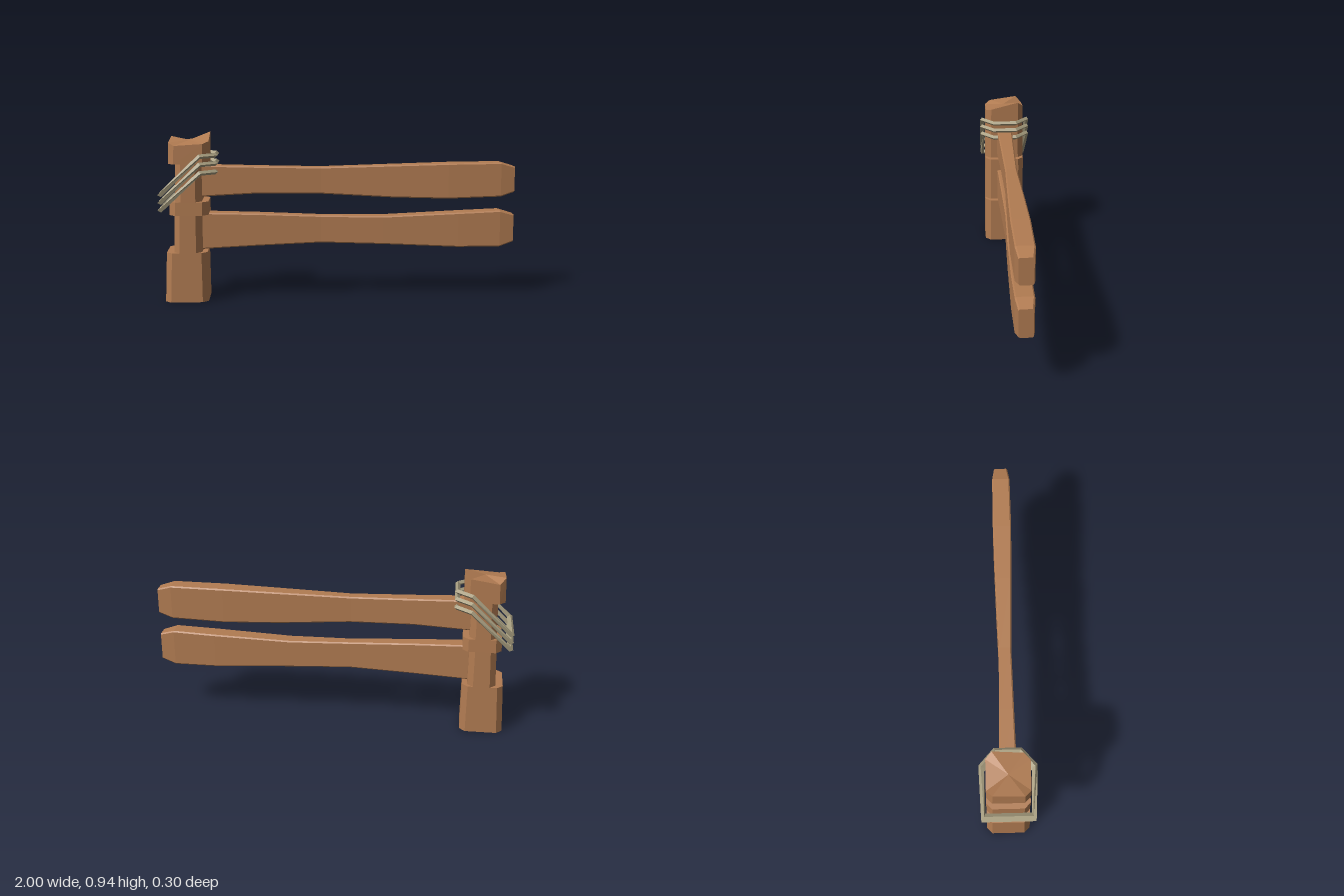
import * as THREE from 'three';

const wood = new THREE.MeshStandardMaterial({ color: 0xb27c52, flatShading: true });
wood.name = 'wood';
const rope = new THREE.MeshStandardMaterial({ color: 0xa89e80, flatShading: true });
rope.name = 'rope';

// Skins a list of rings (each right-handed about the sweep direction) with flat faces.
function loft(rings, closed = false) {
  const pos = [];
  const n = rings[0].length;
  const tri = (a, b, c) => [a, b, c].forEach((p) => pos.push(p.x, p.y, p.z));
  const last = closed ? rings.length : rings.length - 1;
  for (let i = 0; i < last; i++) {
    const r = rings[i], s = rings[(i + 1) % rings.length];
    for (let j = 0; j < n; j++) {
      const k = (j + 1) % n;
      tri(r[j], r[k], s[k]);
      tri(r[j], s[k], s[j]);
    }
  }
  if (!closed) {
    // End caps as fans around the ring centre
    [[rings[0], true], [rings[rings.length - 1], false]].forEach(([r, flip]) => {
      const c = r.reduce((a, p) => a.add(p), new THREE.Vector3()).divideScalar(n);
      for (let j = 0; j < n; j++) {
        const k = (j + 1) % n;
        if (flip) tri(c, r[k], r[j]);
        else tri(c, r[j], r[k]);
      }
    });
  }
  const g = new THREE.BufferGeometry();
  g.setAttribute('position', new THREE.Float32BufferAttribute(pos, 3));
  g.computeVertexNormals();
  return g;
}

function part(name, geometry, material) {
  const m = new THREE.Mesh(geometry, material);
  m.name = name;
  return m;
}

// Post: chamfered square section, notched on its two x sides, with a rough sawn top
function makePost() {
  const levels = [ // y, left x, right x, half depth
    [0, -0.975, -0.735, 0.124], [0.28, -0.963, -0.737, 0.121],
    [0.28, -0.922, -0.766, 0.121], [0.49, -0.915, -0.766, 0.119],
    [0.49, -0.942, -0.728, 0.119], [0.565, -0.94, -0.728, 0.118],
    [0.565, -0.91, -0.764, 0.118], [0.775, -0.905, -0.764, 0.116],
    [0.775, -0.944, -0.722, 0.116], [0.89, -0.94, -0.72, 0.114],
  ];
  const c = 0.032;
  const rings = levels.map(([y, l, r, d]) => [
    [l + c, d], [r - c, d], [r, d - c], [r, c - d],
    [r - c, -d], [l + c, -d], [l, c - d], [l, d - c],
  ].map(([x, z]) => new THREE.Vector3(x, y, z)));
  const topHeights = [0.876, 0.886, 0.898, 0.94, 0.91, 0.885, 0.915, 0.892];
  rings[rings.length - 1].forEach((p, i) => { p.y = topHeights[i]; });
  return part('post', loft(rings), wood);
}

// Rail: bevelled plank whose height and thickness vary along x
function makeRail(name, stations) {
  const c = 0.007;
  const rings = stations.map(([x, lo, hi, d]) => [
    [hi, -d + c], [hi, d - c], [hi - c, d], [lo + c, d],
    [lo, d - c], [lo, -d + c], [lo + c, -d], [hi - c, -d],
  ].map(([y, z]) => new THREE.Vector3(x, y, z)));
  return part(name, loft(rings), wood);
}

// Rope loop: four-sided cord with mitred corners, sloping down behind the post
function makeRopeLoop(low, high) {
  const half = [[-0.985, low, 0.134], [-0.768, high, 0.137], [-0.686, high, 0.066]];
  const pts = [
    ...half.map((p) => new THREE.Vector3(...p)),
    ...half.slice().reverse().map(([x, y, z]) => new THREE.Vector3(x, y, -z)),
  ];
  const radius = 0.0135;
  const rings = pts.map((p, i) => {
    const a = p.clone().sub(pts[(i + 5) % 6]).normalize();
    const b = pts[(i + 1) % 6].clone().sub(p).normalize();
    const t = a.clone().add(b).normalize();
    const side = new THREE.Vector3(0, 1, 0).cross(t).normalize();
    const up = t.clone().cross(side);
    side.multiplyScalar(1 / t.dot(a));
    return [[1, 0], [0, 1], [-1, 0], [0, -1]].map(([s, u]) =>
      p.clone().addScaledVector(side, s * radius).addScaledVector(up, u * radius));
  });
  return part('ropeLoop', loft(rings, true), rope);
}

export function createModel() {
  const model = new THREE.Group();
  model.name = 'fenceSection';
  model.add(makePost());

  // Rails: x, bottom, top, half thickness
  model.add(makeRail('upperRail', [
    [-0.82, 0.583, 0.762, 0.047], [-0.45, 0.6, 0.752, 0.04], [-0.1, 0.595, 0.745, 0.034],
    [0.3, 0.572, 0.755, 0.045], [0.62, 0.563, 0.763, 0.052], [0.92, 0.572, 0.766, 0.05],
    [1, 0.597, 0.742, 0.038],
  ]));
  model.add(makeRail('lowerRail', [
    [-0.82, 0.285, 0.496, 0.047], [-0.45, 0.302, 0.485, 0.04], [-0.1, 0.315, 0.47, 0.034],
    [0.25, 0.304, 0.464, 0.044], [0.68, 0.284, 0.482, 0.052], [0.92, 0.284, 0.492, 0.05],
    [1, 0.31, 0.468, 0.038],
  ]));

  // Rope binding
  const binding = new THREE.Group();
  binding.name = 'ropeBinding';
  [[0.61, 0.819], [0.567, 0.774], [0.525, 0.727]].forEach(([low, high]) =>
    binding.add(makeRopeLoop(low, high)));
  model.add(binding);
  return model;
}
